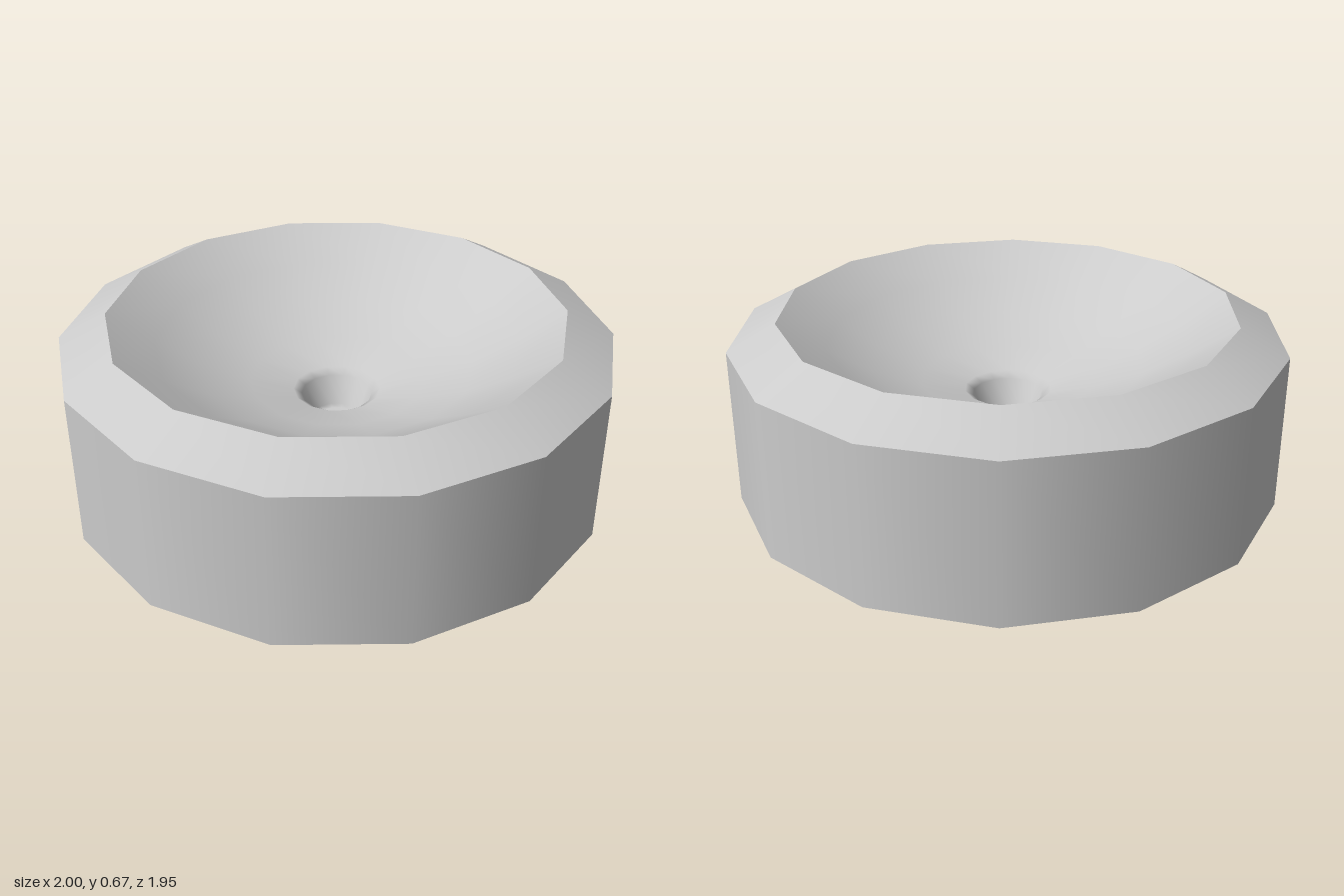
import * as THREE from 'three';

const SIDES = 14;
const material = new THREE.MeshStandardMaterial({ color: 0xcccccc, side: THREE.DoubleSide });

// Revolve a [radius, height] profile with a corner on the x axis
function turned(name, profile) {
  const points = profile.map(([r, y]) => new THREE.Vector2(r, y));
  const mesh = new THREE.Mesh(new THREE.LatheGeometry(points, SIDES, Math.PI / 2), material);
  mesh.name = name;
  return mesh;
}

export function createModel() {
  const model = new THREE.Group();
  model.name = 'basin';

  // Upright outer wall, open underneath
  model.add(turned('outerWall', [[1, 0], [1, 0.575]]));

  // Sloping rim
  model.add(turned('rim', [[1, 0.575], [0.825, 0.67]]));

  // Shallow dish running smoothly into the drain cup
  model.add(turned('bowlAndDrain', [
    [0.825, 0.67], [0.66, 0.56], [0.5, 0.465], [0.32, 0.395], [0.16, 0.355],
    [0.13, 0.335], [0.095, 0.23], [0.08, 0.22], [0, 0.22],
  ]));

  return model;
}
